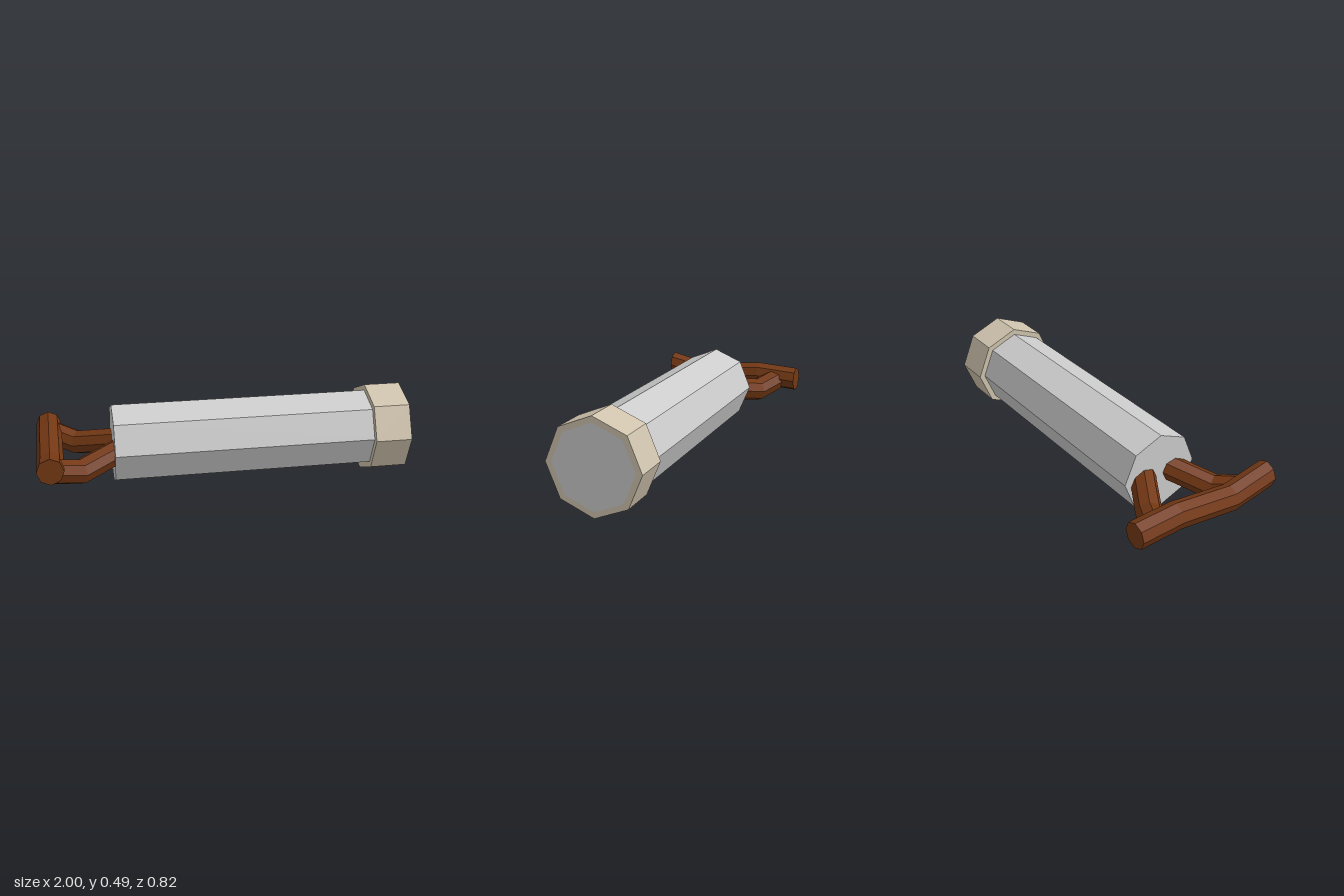
import * as THREE from 'three';

const SIDES = 8;
const AXIS_Y = 0.248;
const UP = new THREE.Vector3(0, 1, 0);

const material = (color) => new THREE.MeshStandardMaterial({ color, flatShading: true });

// Eight-sided rod that follows a few points, every ring standing in the same upright plane
function bentRod(points, radius) {
  const path = points.map((p) => new THREE.Vector3(...p));
  const rows = path.length - 1;
  const dir = path[0].clone().sub(path[rows]).setY(0).normalize();
  const side = dir.clone().cross(UP);
  const geometry = new THREE.CylinderGeometry(radius, radius, 1, SIDES, rows);
  const pos = geometry.attributes.position;
  for (let i = 0; i < pos.count; i++) {
    const row = Math.round((0.5 - pos.getY(i)) * rows);
    const v = path[row].clone().addScaledVector(side, pos.getX(i)).addScaledVector(UP, pos.getZ(i));
    pos.setXYZ(i, v.x, v.y, v.z);
  }
  geometry.computeVertexNormals();
  return geometry;
}

export function createModel() {
  const model = new THREE.Group();
  const metal = material(0xcccccc);
  const band = material(0xcfc3ad);
  const wood = material(0x743814);

  const add = (name, geometry, mat) => {
    const mesh = new THREE.Mesh(geometry, mat);
    mesh.name = name;
    model.add(mesh);
    return mesh;
  };

  // Long barrel lying along x
  const barrel = new THREE.CylinderGeometry(0.215, 0.215, 1.6, SIDES);
  barrel.rotateZ(-Math.PI / 2).translate(0.2, AXIS_Y, 0);
  add('barrel', barrel, metal);

  // Collar around the far end, flush with the barrel's face
  const profile = [[0.212, 0.8], [0.247, 0.8], [0.247, 1], [0.212, 1]];
  const collar = new THREE.LatheGeometry(profile.map(([r, y]) => new THREE.Vector2(r, y)), SIDES);
  collar.rotateZ(-Math.PI / 2).translate(0, AXIS_Y, 0);
  add('endCollar', collar, band);

  // Slightly crooked grip across the handle
  add('handleGrip', bentRod([
    [-0.932, 0.27, 0.408], [-0.932, 0.218, 0.17], [-0.932, 0.254, -0.17], [-0.932, 0.24, -0.408],
  ], 0.069), wood);

  // Two bent struts from the barrel to the grip
  for (const [name, s, lift] of [['leftStrut', 1, 0], ['rightStrut', -1, 0.01]]) {
    add(name, bentRod([
      [-0.55, 0.24, s * 0.07],
      [-0.78, 0.18 + lift, s * 0.205],
      [-0.92, 0.222 + lift, s * 0.285],
    ], 0.067), wood);
  }

  return model;
}
